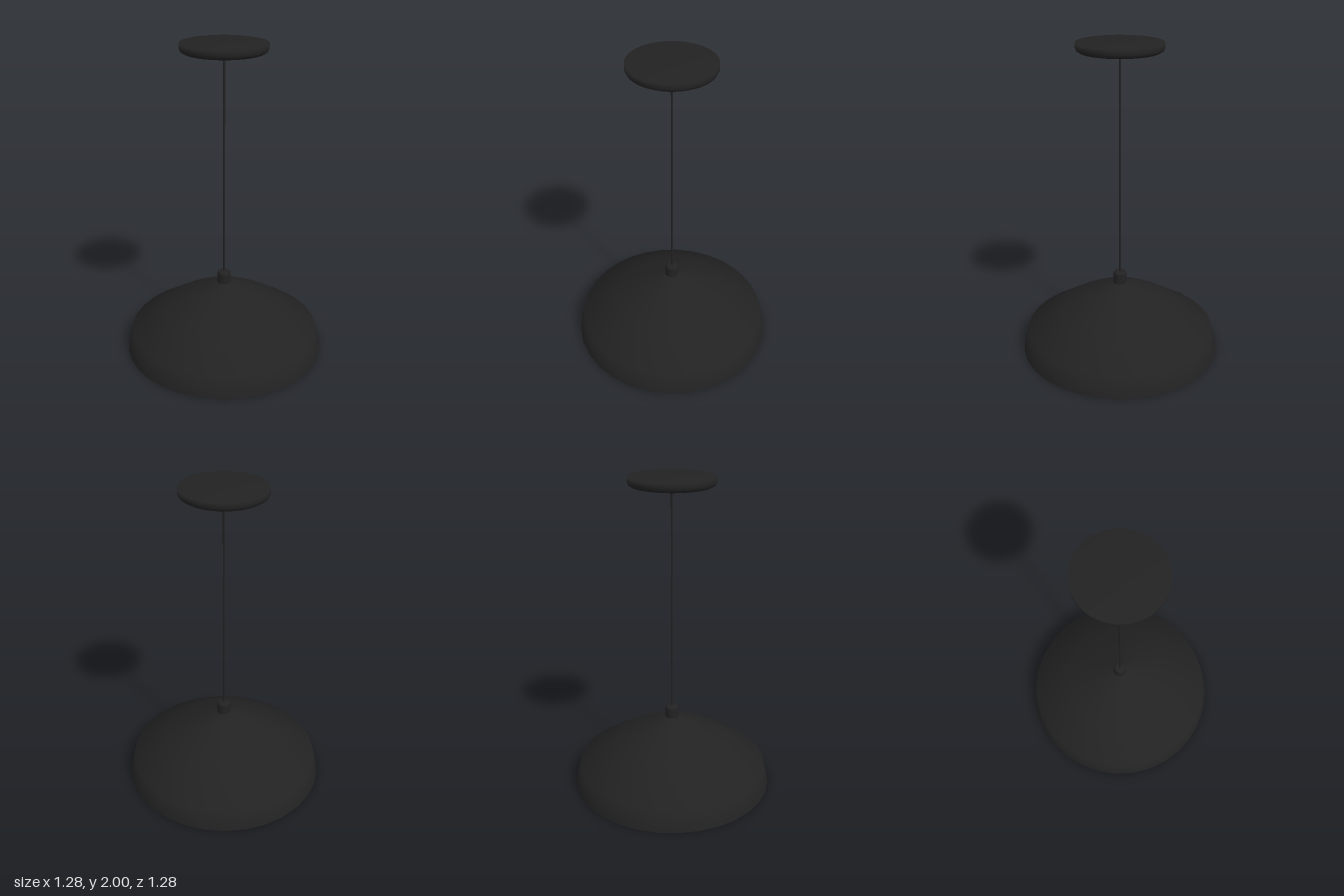
import * as THREE from 'three';

const black = new THREE.MeshStandardMaterial({ color: 0x222222 });
const lining = new THREE.MeshStandardMaterial({ color: 0xcccccc });
const amber = new THREE.MeshStandardMaterial({ color: 0xd9a066 });

// Turned part from [radius, height] pairs; listed upwards, its faces look outwards
function turned(name, profile, material, segments = 32) {
  const points = profile.map(([r, y]) => new THREE.Vector2(r, y));
  const mesh = new THREE.Mesh(new THREE.LatheGeometry(points, segments), material);
  mesh.name = name;
  return mesh;
}

export function createModel() {
  const lamp = new THREE.Group();
  lamp.name = 'pendantLamp';

  // Shade: dark outer shell, pale lining and the narrow rim joining them
  const outer = [[0.64, 0], [0.608, 0.135], [0.37, 0.29], [0.195, 0.387], [0.04, 0.452]];
  const inner = [[0, 0.455], [0.04, 0.44], [0.19, 0.376], [0.364, 0.28], [0.598, 0.128], [0.63, 0]];
  const shade = new THREE.Group();
  shade.name = 'shade';
  shade.add(
    turned('shadeOuter', outer, black),
    turned('shadeLining', inner, lining),
    turned('shadeRim', [[0.63, 0], [0.64, 0]], black),
  );
  lamp.add(shade);

  // Collar on top of the shade
  lamp.add(turned('shadeCollar',
    [[0.043, 0.44], [0.043, 0.51], [0.041, 0.521], [0.034, 0.528], [0.02, 0.53], [0, 0.53]], black, 24));

  // Cord from collar to ceiling
  const cord = new THREE.Mesh(new THREE.CylinderGeometry(0.007, 0.007, 1.42, 12), black);
  cord.name = 'cord';
  cord.position.y = 1.235;
  lamp.add(cord);

  // Ceiling canopy with softly rounded lower edge
  lamp.add(turned('canopy', [
    [0, 1.933], [0.1, 1.936], [0.2, 1.941], [0.24, 1.946], [0.255, 1.955],
    [0.262, 1.97], [0.262, 2], [0, 2],
  ], black, 64));
  lamp.add(turned('cordGrip', [[0, 1.928], [0.022, 1.928], [0.03, 1.936]], black, 24));

  // Lamp holder and bulb under the shade
  lamp.add(turned('lampHolder', [[0, 0.35], [0.03, 0.35], [0.03, 0.445]], black, 20));
  const bulb = new THREE.Mesh(new THREE.SphereGeometry(0.055, 16, 12), amber);
  bulb.name = 'bulb';
  bulb.position.y = 0.32;
  lamp.add(bulb);

  return lamp;
}
